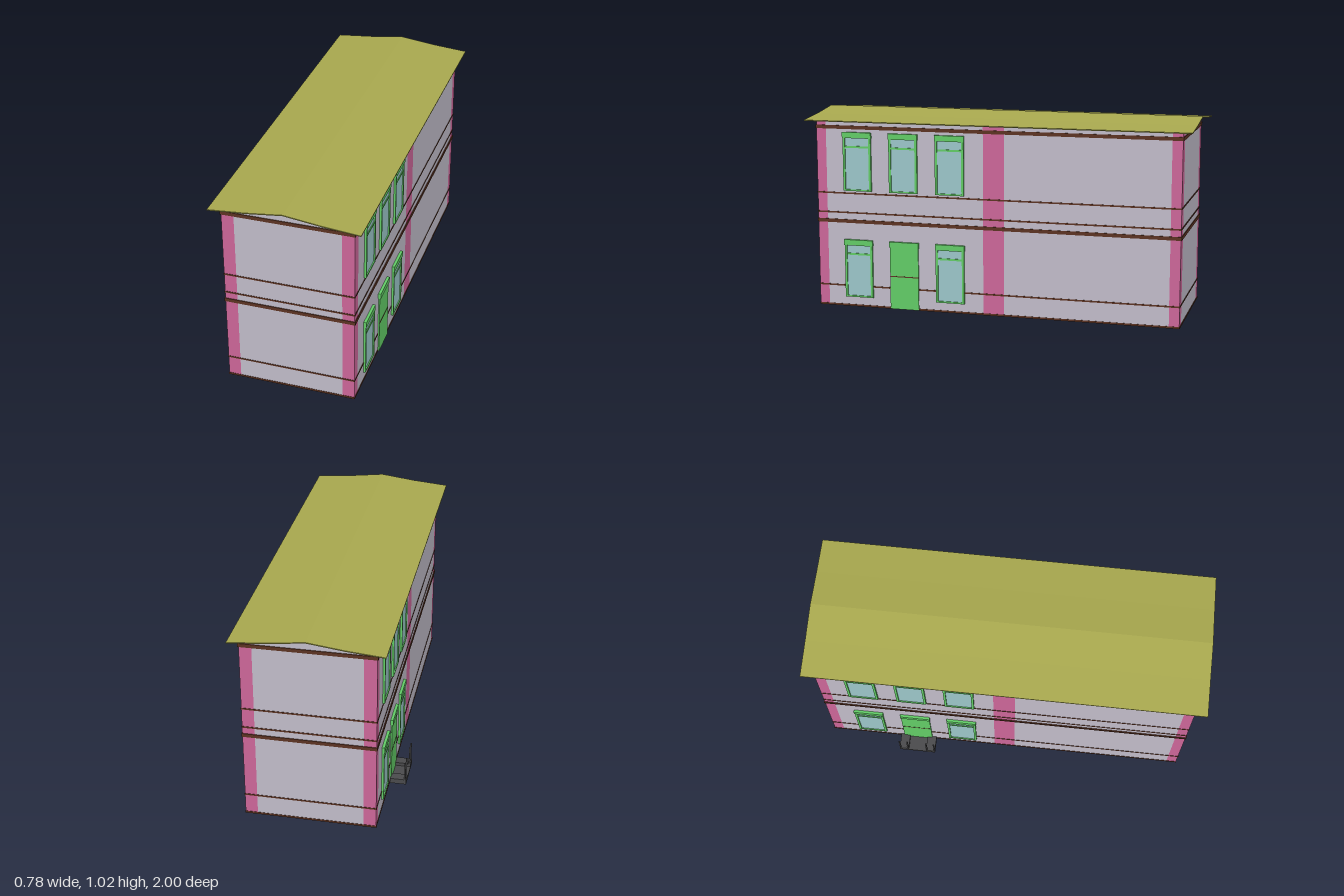
import * as THREE from 'three';

const material = (color) => new THREE.MeshStandardMaterial({ color, side: THREE.DoubleSide, flatShading: true });
const plaster = material(0xc1bcc9);
const pink = material(0xcc6699);
const brown = material(0x5c3322);
const olive = material(0xa8a84e);
const green = material(0x62cc66);
const glass = material(0x9cc6c9);
const iron = material(0x4a4a4c);

// Wall planes; the ridge lies midway between them
const X0 = -0.302, X1 = 0.346, Z = 0.95, MID = 0.02;
const ROOF = [[-0.37, 0.974], [-0.185, 0.99], [0, 1.013], [0.185, 0.99], [0.37, 0.974]];

function add(parent, name, geometry, mat) {
  const mesh = new THREE.Mesh(geometry, mat);
  mesh.name = name;
  parent.add(mesh);
  return mesh;
}

// Box given by its lower and upper corners
function box(parent, name, mat, x0, x1, y0, y1, z0, z1) {
  const mesh = add(parent, name, new THREE.BoxGeometry(x1 - x0, y1 - y0, z1 - z0), mat);
  mesh.position.set((x0 + x1) / 2, (y0 + y1) / 2, (z0 + z1) / 2);
  return mesh;
}

function roofY(x) {
  const u = x - MID;
  for (let i = 0; i < ROOF.length - 1; i++) {
    const [a, ya] = ROOF[i], [b, yb] = ROOF[i + 1];
    if (u <= b) return ya + (yb - ya) * (u - a) / (b - a);
  }
  return ROOF[ROOF.length - 1][1];
}

// Upright strip of an end wall whose top follows the roof
function endStrip(parent, name, mat, xa, xb, z) {
  const breaks = ROOF.map(([u]) => u + MID).filter((x) => x > xa && x < xb);
  const tops = [xa, ...breaks, xb].reverse().map((x) => [x, roofY(x) + 0.001]);
  const points = [[xa, 0], [xb, 0], ...tops].map(([x, y]) => new THREE.Vector2(x, y));
  const mesh = add(parent, name, new THREE.ShapeGeometry(new THREE.Shape(points)), mat);
  mesh.position.z = z;
  if (z < 0) {
    mesh.geometry.scale(-1, 1, 1);
    mesh.rotation.y = Math.PI;
    mesh.geometry.index.array.reverse();
    mesh.geometry.computeVertexNormals();
  }
}

// Upright strip of a long wall
function sideStrip(parent, name, mat, x, za, zb) {
  const height = roofY(x);
  const mesh = add(parent, name, new THREE.PlaneGeometry(zb - za, height), mat);
  mesh.position.set(x, height / 2, (za + zb) / 2);
  mesh.rotation.y = x > 0 ? Math.PI / 2 : -Math.PI / 2;
}

function buildWalls() {
  const walls = new THREE.Group();
  walls.name = 'walls';
  for (const z of [Z, -Z]) {
    endStrip(walls, 'cornerStrip', pink, X0, -0.24, z);
    endStrip(walls, 'endWall', plaster, -0.24, 0.285, z);
    endStrip(walls, 'cornerStrip', pink, 0.285, X1, z);
  }
  const cuts = [-Z, -0.898, -0.055, 0.055, 0.898, Z];
  for (const x of [X0, X1]) {
    for (let i = 0; i < 5; i++) {
      const isPink = i % 2 === 0;
      sideStrip(walls, isPink ? 'pilaster' : 'sideWall', isPink ? pink : plaster, x, cuts[i], cuts[i + 1]);
    }
  }
  return walls;
}

// Moulding running round the whole building as a hollow ring
function band(parent, y0, y1, out) {
  const rect = (Type, d) => new Type([
    new THREE.Vector2(X0 - d, -Z - d), new THREE.Vector2(X1 + d, -Z - d),
    new THREE.Vector2(X1 + d, Z + d), new THREE.Vector2(X0 - d, Z + d)]);
  const shape = rect(THREE.Shape, out);
  shape.holes.push(rect(THREE.Path, -0.002));
  const geometry = new THREE.ExtrudeGeometry(shape, { depth: y1 - y0, bevelEnabled: false });
  geometry.rotateX(-Math.PI / 2);
  add(parent, 'moulding', geometry, brown).position.y = y0;
}

function buildRoof() {
  const top = ROOF.map(([u, y]) => new THREE.Vector2(u + MID, y + 0.005));
  const under = ROOF.map(([u, y]) => new THREE.Vector2(u + MID, y)).reverse();
  const geometry = new THREE.ExtrudeGeometry(new THREE.Shape([...top, ...under]), { depth: 2, bevelEnabled: false });
  geometry.translate(0, 0, -1);
  const roof = new THREE.Mesh(geometry, olive);
  roof.name = 'roof';
  return roof;
}

// Window facing +x; its wall plane is x = 0 and its sill y = 0
function buildWindow() {
  const w = new THREE.Group();
  w.name = 'window';
  const half = 0.076, h = 0.305;
  box(w, 'pane', glass, 0.001, 0.005, 0.006, h - 0.02, -half + 0.006, half - 0.006);
  for (const s of [-1, 1]) {
    const a = s * half, b = s * (half - 0.012);
    box(w, 'jamb', green, -0.001, 0.011, 0, h - 0.028, Math.min(a, b), Math.max(a, b));
  }
  box(w, 'sill', green, -0.001, 0.011, 0, 0.008, -half, half);
  box(w, 'transom', green, 0.001, 0.009, 0.224, 0.234, -half + 0.01, half - 0.01);
  box(w, 'lintel', green, -0.001, 0.014, h - 0.03, h, -half - 0.002, half + 0.002);
  return w;
}

function buildDoor() {
  const d = new THREE.Group();
  d.name = 'door';
  box(d, 'doorLeaf', green, 0.001, 0.008, 0.002, 0.33, -0.077, 0.077);
  box(d, 'doorRail', brown, 0.002, 0.009, 0.172, 0.177, -0.077, 0.077);
  box(d, 'lintel', green, -0.001, 0.014, 0.328, 0.357, -0.079, 0.079);
  return d;
}

// Openings of one long side
function buildFacade(lift) {
  const facade = new THREE.Group();
  facade.name = 'facadeOpenings';
  const place = (part, y, z) => {
    part.position.set(0, y, z);
    facade.add(part);
  };
  for (const z of [0.727, 0.478, 0.23]) {
    place(buildWindow(), 0.614, z);
    if (z === 0.478) place(buildDoor(), lift, z);
    else place(buildWindow(), 0.052 + lift, z);
  }
  return facade;
}

function buildPorch() {
  const porch = new THREE.Group();
  porch.name = 'porch';
  box(porch, 'step', iron, -0.388, -0.305, 0.003, 0.013, -0.573, -0.378);
  for (const [a, b] of [[-0.573, -0.523], [-0.428, -0.378]]) {
    box(porch, 'sideBlock', iron, -0.388, -0.305, 0.012, 0.03, a, b);
    for (const z of [a + 0.004, b - 0.004]) {
      box(porch, 'post', iron, -0.385, -0.378, 0.029, 0.127, z - 0.0035, z + 0.0035);
    }
  }
  return porch;
}

export function createModel() {
  const model = new THREE.Group();
  model.name = 'house';
  model.add(buildWalls(), buildRoof());

  const bands = new THREE.Group();
  bands.name = 'mouldings';
  for (const y of [0.11, 0.498, 0.6]) band(bands, y - 0.004, y + 0.004, 0.002);
  for (const y of [0.453, 0.943]) band(bands, y - 0.009, y + 0.009, 0.004);
  band(bands, 0, 0.01, 0.002);
  model.add(bands);

  // The two long sides match under a half turn
  const leftSide = buildFacade(0);
  leftSide.position.x = X1;
  const rightSide = buildFacade(0.01);
  rightSide.position.x = X0;
  rightSide.rotation.y = Math.PI;
  model.add(leftSide, rightSide, buildPorch());
  return model;
}
